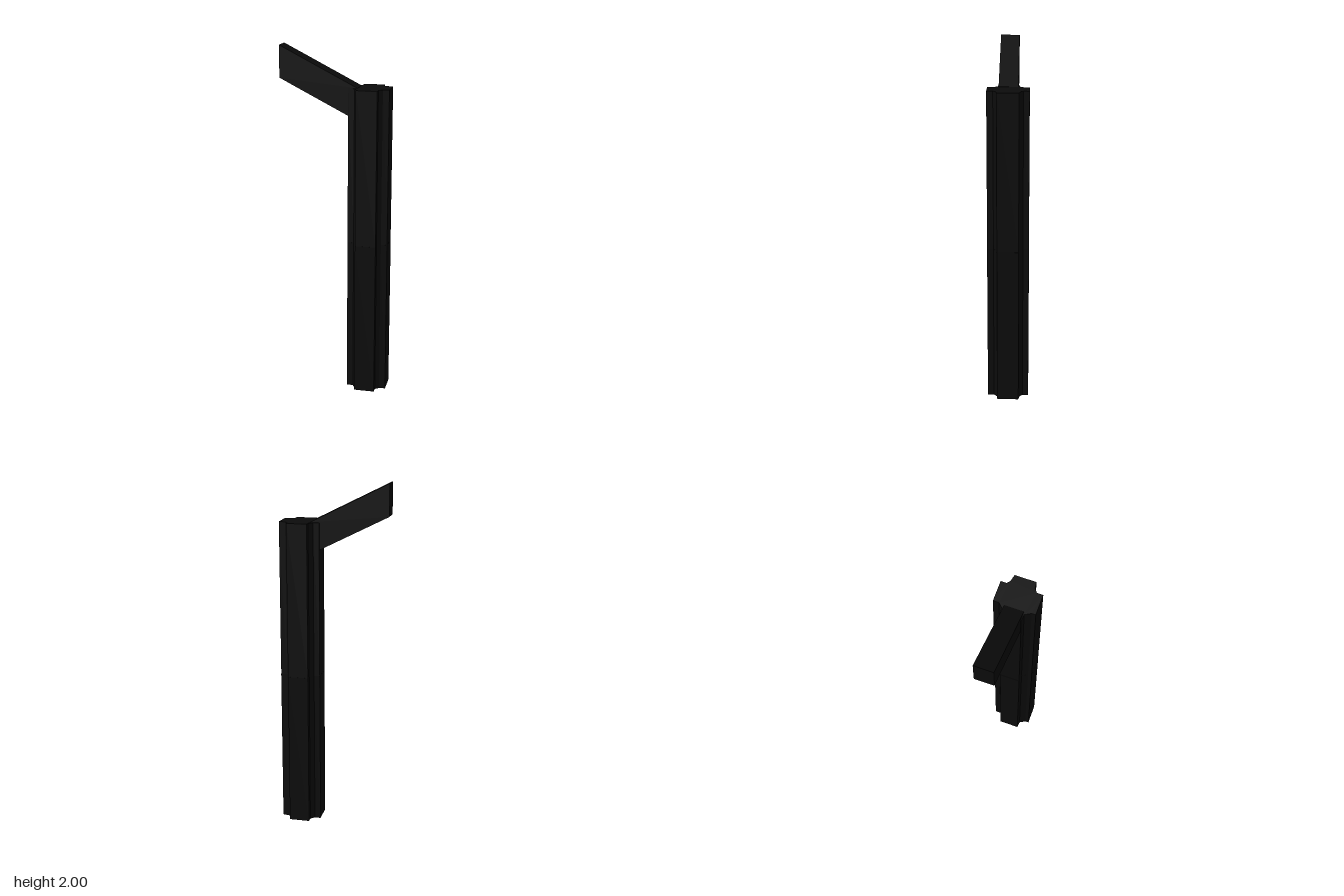
import * as THREE from 'three';

const material = new THREE.MeshStandardMaterial({ color: 0x0c0c0c, flatShading: true });

// Outline in plan as [x, z] around the post axis, counter-clockwise seen from above
const POST_X = 0.193;
const postOutline = [
  [-0.115, 0.057], [-0.079, 0.06], [-0.06, 0.094], [-0.06, 0.116],
  [0.058, 0.116], [0.058, 0.081], [0.08, 0.064], [0.115, 0.06],
  [0.115, -0.06], [0.077, -0.068], [0.059, -0.083], [0.059, -0.116],
  [-0.058, -0.116], [-0.058, -0.083], [-0.081, -0.061], [-0.115, -0.061],
];

function extrude(points, depth) {
  const shape = new THREE.Shape(points.map(([x, y]) => new THREE.Vector2(x, y)));
  return new THREE.ExtrudeGeometry(shape, { depth, bevelEnabled: false });
}

function addMesh(group, name, geometry) {
  const mesh = new THREE.Mesh(geometry, material);
  mesh.name = name;
  group.add(mesh);
  return mesh;
}

// Fluted post section standing upright from y0 to y1
function addPostSection(group, name, y0, y1, scale) {
  const outline = postOutline.map(([x, z]) => [x * scale, -z * scale]);
  const geometry = extrude(outline, y1 - y0);
  geometry.rotateX(-Math.PI / 2);
  addMesh(group, name, geometry).position.set(POST_X, y0, 0);
}

export function createModel() {
  const group = new THREE.Group();
  group.name = 'postWithArm';

  // Two stacked sections with a fine seam between them
  addPostSection(group, 'lowerPost', 0, 0.892, 1);
  addPostSection(group, 'upperPost', 0.892, 1.775, 0.995);

  // Sloping arm with plumb-cut ends, its foot set into the post
  const arm = extrude([[-0.31, 1.82], [0.13, 1.597], [0.13, 1.777], [-0.31, 2]], 0.107);
  arm.translate(0, 0, -0.0535);
  addMesh(group, 'arm', arm);

  return group;
}
